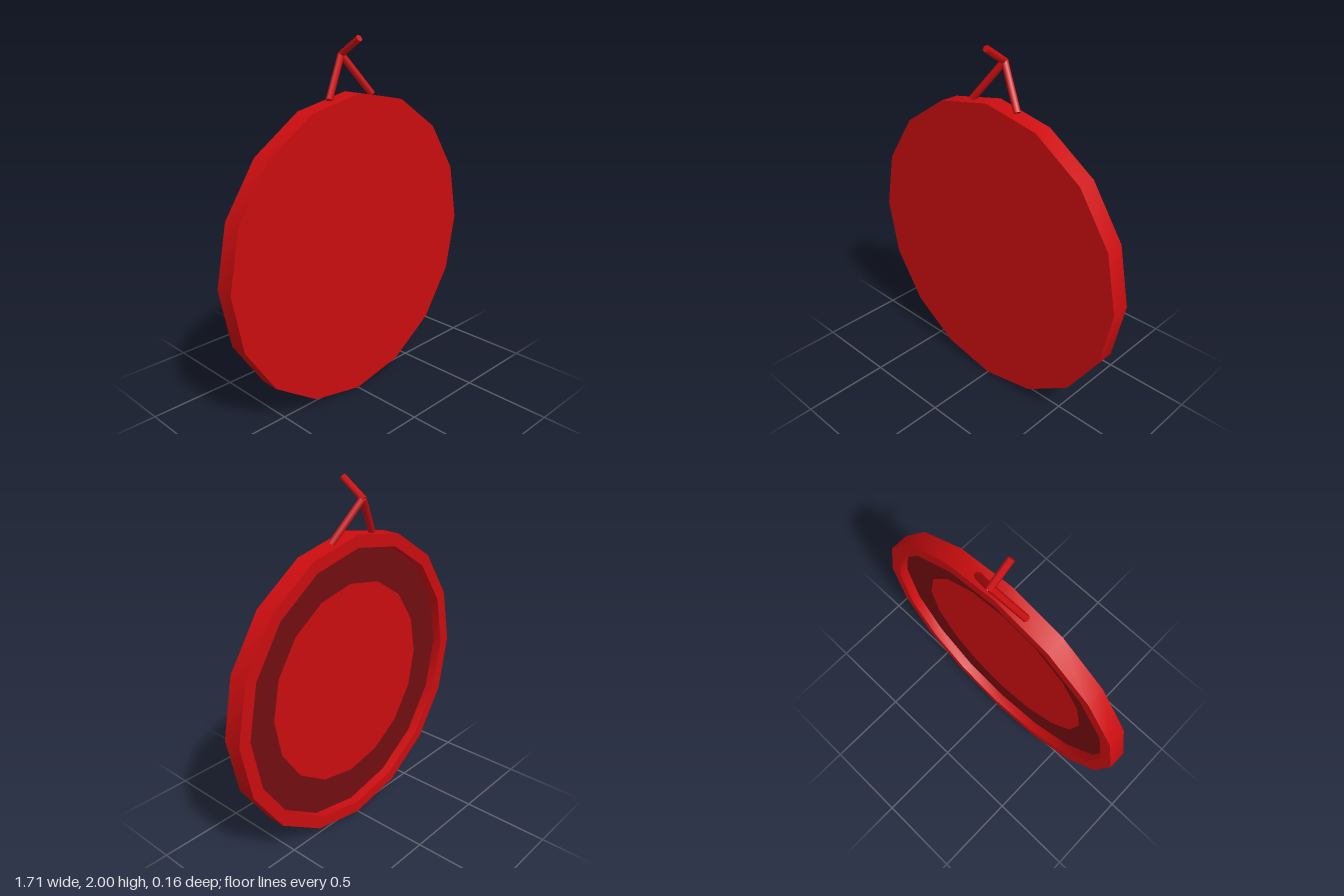
import * as THREE from 'three';
import { toCreasedNormals } from 'three/addons/utils/BufferGeometryUtils.js';

const SIDES = 16, RADIUS = 0.855, INNER = 0.785, PATCH = 0.58;
const BACK = -0.035, FRONT = 0.07, FLOOR = 0.02;

export function createModel() {
  const red = new THREE.MeshStandardMaterial({ color: 0xcc0d10 });
  red.name = 'red';
  const darkRed = new THREE.MeshStandardMaterial({ color: 0x720d0f });
  darkRed.name = 'dark red';

  const model = new THREE.Group();
  model.name = 'hangingDisc';

  // Surface turned about the z axis from [radius, z] points
  function turned(name, profile, material) {
    const points = profile.map(([r, z]) => new THREE.Vector2(r, z));
    const geometry = new THREE.LatheGeometry(points, SIDES).rotateX(Math.PI / 2);
    const mesh = new THREE.Mesh(toCreasedNormals(geometry, 0.5), material);
    mesh.name = name;
    mesh.position.y = RADIUS;
    model.add(mesh);
  }

  // Shell with a flat front and a raised rim around the hollow back
  turned('discShell', [[INNER, FLOOR], [INNER, BACK], [RADIUS, BACK], [RADIUS, FRONT], [0, FRONT]], red);
  turned('backRing', [[PATCH, FLOOR], [INNER, FLOOR]], darkRed);
  turned('backCentre', [[0, FLOOR], [PATCH, FLOOR]], red);

  // Thin rod between two points
  function rod(name, from, to) {
    const a = new THREE.Vector3(...from), b = new THREE.Vector3(...to);
    const direction = b.clone().sub(a);
    const mesh = new THREE.Mesh(new THREE.CylinderGeometry(0.019, 0.019, direction.length(), 6), red);
    mesh.name = name;
    mesh.position.copy(a).add(b).multiplyScalar(0.5);
    mesh.quaternion.setFromUnitVectors(new THREE.Vector3(0, 1, 0), direction.normalize());
    model.add(mesh);
  }

  // Hanger: two legs meeting behind the rim, and a hook reaching forward
  const apex = [0, 1.895, -0.062];
  rod('leftHangerLeg', [0.155, 1.685, 0.01], apex);
  rod('rightHangerLeg', [-0.155, 1.685, 0.01], apex);
  rod('hangerHook', [0, 1.89, -0.07], [0, 1.983, 0.068]);

  return model;
}
